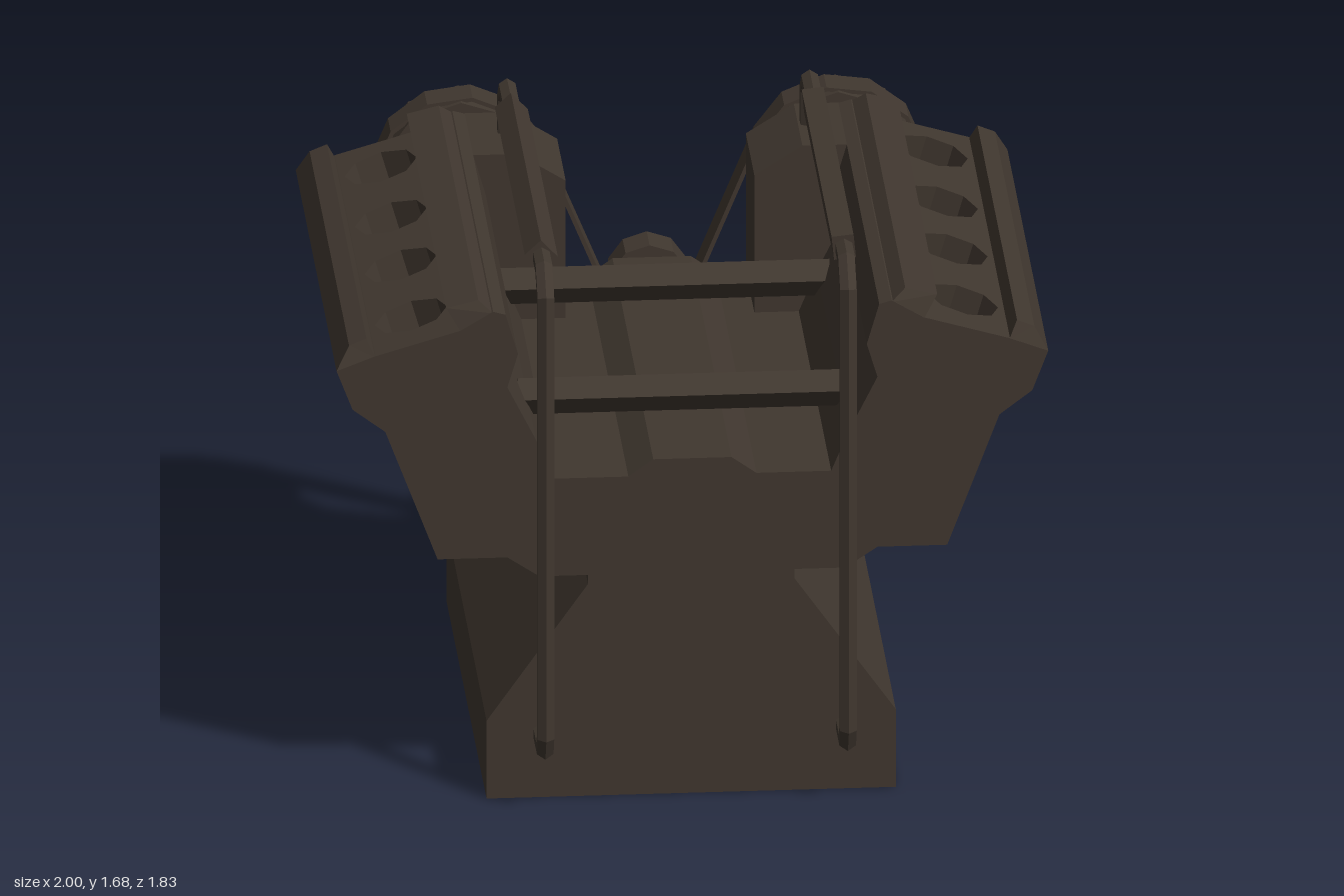
import * as THREE from 'three';

const metal = new THREE.MeshStandardMaterial({ color: 0x40372f });
metal.name = 'dark metal';

// Faceted normals for every part
function faceted(geo) {
  const g = geo.index ? geo.toNonIndexed() : geo;
  g.computeVertexNormals();
  return g;
}

// Mirror across x, keeping the corner order outward
function mirrorX(geo) {
  const g = faceted(geo.clone());
  const p = g.attributes.position;
  for (let i = 0; i < p.count; i += 3) {
    const v = [0, 2, 1].map((k) => new THREE.Vector3().fromBufferAttribute(p, i + k));
    v.forEach((q, k) => p.setXYZ(i + k, -q.x, q.y, q.z));
  }
  return faceted(g);
}

function shapeOf(points) {
  return new THREE.Shape(points.map(([x, y]) => new THREE.Vector2(x, y)));
}

// Extrude an xy profile between two z planes
function prism(shape, z0, z1) {
  const s = Array.isArray(shape) ? shapeOf(shape) : shape;
  return new THREE.ExtrudeGeometry(s, { depth: z1 - z0, bevelEnabled: false }).translate(0, 0, z0);
}

function polygon(r, sides, cx = 0, cy = 0, phase = 0.5) {
  return Array.from({ length: sides }, (_, i) => {
    const a = ((i + phase) / sides) * Math.PI * 2;
    return new THREE.Vector2(cx + r * Math.cos(a), cy + r * Math.sin(a));
  });
}

function disc(r, sides, z0, z1, x, y) {
  return prism(new THREE.Shape(polygon(r, sides)), z0, z1).translate(x, y, 0);
}

// Mitred pipe along a path of [z, y] points
function pipe(path, r, sides, x) {
  const pts = path.map(([z, y]) => new THREE.Vector2(z, y));
  const pos = [], idx = [], n = pts.length;
  pts.forEach((p, i) => {
    const a = p.clone().sub(pts[Math.max(i - 1, 0)]).normalize();
    const b = pts[Math.min(i + 1, n - 1)].clone().sub(p).normalize();
    const t = a.clone().add(b).normalize();
    const w = r / t.dot(i ? a : b);
    for (let k = 0; k < sides; k++) {
      const q = ((k + 0.5) / sides) * Math.PI * 2;
      pos.push(x + r * Math.cos(q), p.y + t.x * w * Math.sin(q), p.x - t.y * w * Math.sin(q));
    }
  });
  for (let i = 0; i < n - 1; i++) {
    for (let k = 0; k < sides; k++) {
      const a = i * sides + k, b = i * sides + ((k + 1) % sides);
      idx.push(a, b, a + sides, b, b + sides, a + sides);
    }
  }
  const e = (n - 1) * sides;
  for (let k = 1; k < sides - 1; k++) idx.push(0, k + 1, k, e, e + k, e + k + 1);
  const g = new THREE.BufferGeometry();
  g.setAttribute('position', new THREE.Float32BufferAttribute(pos, 3));
  g.setIndex(idx);
  return g;
}

// Closed belt line round pulleys [x, y, signed radius], positive = counter-clockwise
function beltLine(wheels) {
  const n = wheels.length;
  const normals = wheels.map(([x, y, r], i) => {
    const [x2, y2, r2] = wheels[(i + 1) % n];
    const D = Math.hypot(x2 - x, y2 - y), ux = (x2 - x) / D, uy = (y2 - y) / D;
    const k = (r - r2) / D, s = Math.sqrt(1 - k * k);
    return Math.atan2(uy * k - ux * s, ux * k + uy * s);
  });
  const out = [];
  wheels.forEach(([x, y, r], i) => {
    const a0 = normals[(i + n - 1) % n], full = Math.PI * 2;
    let sweep = (((normals[i] - a0) % full) + full) % full;
    if (r < 0) sweep -= full;
    const steps = Math.max(2, Math.ceil(Math.abs(sweep) / 0.6));
    for (let j = 0; j <= steps; j++) {
      const a = a0 + (sweep * j) / steps;
      out.push(new THREE.Vector2(x + r * Math.cos(a), y + r * Math.sin(a)));
    }
  });
  return out;
}

export function createModel() {
  const model = new THREE.Group();
  model.name = 'engine';
  const add = (name, geo) => {
    const m = new THREE.Mesh(faceted(geo), metal);
    m.name = name;
    model.add(m);
  };
  const addPair = (name, geo) => {
    add(name + 'Left', geo);
    add(name + 'Right', mirrorX(geo));
  };
  const both = (half) => [...half, ...half.slice().reverse().map(([x, y]) => [-x, y])];
  const Z0 = -0.71, Z1 = 0.79;

  // Oil pan
  add('oilPan', prism(both([[0.575, 0], [0.575, 0.235], [0.29, 0.64], [0.29, 0.69]]), -0.735, 0.745));

  // V block; the deck slot is left open for the bored plates
  const s = new THREE.Vector3(0.24, -0.07, 0).normalize();
  const nrm = new THREE.Vector3(-s.y, s.x, 0);
  const depth = 0.1, deckIn = [0.65, 1.436], deckOut = [0.89, 1.366];
  const sink = ([x, y]) => [x - nrm.x * depth, y - nrm.y * depth];
  add('block', prism(both([
    [0.43, 0.686], [0.52, 0.746], [0.716, 0.746], [0.863, 1.136], [0.955, 1.206], [1, 1.324],
    deckOut, sink(deckOut), sink(deckIn), deckIn, [0.56, 1.49], [0.525, 1.48], [0.49, 1.36],
    [0.52, 1.26], [0.44, 1.1], [0.39, 0.98], [0.18, 0.98], [0.11, 1.03],
  ]), Z0, Z1));

  // Deck plates with four octagonal bores
  const deck = shapeOf([[0, -Z1], [0.25, -Z1], [0.25, -Z0], [0, -Z0]]);
  for (const z of [-0.53, -0.155, 0.2, 0.58]) deck.holes.push(new THREE.Path(polygon(0.105, 8, 0.13, -z, 0.1)));
  const [dx, dy] = sink(deckIn);
  const basis = new THREE.Matrix4().makeBasis(s, new THREE.Vector3(0, 0, -1), nrm).setPosition(dx, dy, 0);
  addPair('cylinderDeck', prism(deck, 0, depth).applyMatrix4(basis));

  // Rails beside the deck, their upper edges drawn in at the ends
  const rail = (points, isTop) => {
    const g = prism(points, Z0, Z1), p = g.attributes.position;
    for (let i = 0; i < p.count; i++) {
      if (isTop(p.getX(i), p.getY(i))) p.setZ(i, p.getZ(i) - Math.sign(p.getZ(i)) * 0.025);
    }
    return g;
  };
  addPair('innerRail', rail([[0.56, 1.485], [0.65, 1.43], [0.69, 1.495], [0.6, 1.517]], (x, y) => y > 1.49));
  addPair('outerRail', rail([[0.89, 1.36], [1, 1.324], [0.963, 1.39], [0.914, 1.41]], (x, y) => y > 1.38));

  // Housings at the back of the valley
  addPair('rearHousing', prism([[0.265, 0.97], [0.54, 0.97], [0.555, 1.48], [0.4, 1.48], [0.265, 1.395]], -0.713, -0.4));

  // Tubular frame: pipes, sleeves turned differently on each side, cross bars
  for (const [side, x, turn] of [['Left', 0.43, 0.1], ['Right', -0.42, 0.75]]) {
    add('framePipe' + side, pipe([
      [0.73, 0.195], [0.865, 0.195], [0.888, 0.24], [0.888, 1.565], [0.82, 1.63],
      [-0.52, 1.63], [-0.57, 1.585], [-0.57, 1.45],
    ], 0.027, 6, x));
    add('frameSleeve' + side, new THREE.BoxGeometry(0.062, 0.07, 1.1).rotateZ(turn).translate(x, 1.631, 0.18));
  }
  for (const z of [-0.31, 0.51]) {
    add('crossBar', new THREE.BoxGeometry(0.94, 0.07, 0.075).rotateX(0.6).translate(0, 1.118, z));
  }

  // Large spoked pulleys
  const bx = 0.53, by = 1.25;
  const rim = new THREE.Shape(polygon(0.238, 10));
  rim.holes.push(new THREE.Path(polygon(0.178, 10)));
  addPair('pulleyRim', prism(rim, -0.902, -0.77).translate(bx, by, 0));
  addPair('pulleyWeb', disc(0.18, 10, -0.84, -0.8, bx, by));
  addPair('pulleyHub', disc(0.055, 8, -0.89, -0.7, bx, by));
  for (let i = 0; i < 6; i++) {
    addPair('pulleySpoke', new THREE.BoxGeometry(0.15, 0.035, 0.05).translate(0.11, 0, -0.86)
      .rotateZ((i * Math.PI) / 3).translate(bx, by, 0));
  }

  // Small pulleys and shafts
  addPair('tensioner', disc(0.122, 10, -0.885, -0.785, 0.2, 0.53));
  addPair('tensionerHub', disc(0.062, 8, -0.91, -0.72, 0.2, 0.53));
  add('idler', disc(0.115, 10, -0.89, -0.785, 0, 0.92));
  add('idlerShaft', disc(0.06, 8, -0.8, -0.7, 0, 0.92));
  add('crankPulley', disc(0.103, 10, -0.888, -0.785, 0, 0.19));

  // Serpentine belt
  const th = 0.012;
  const wheels = [[0, 0.19, 0.104], [0.2, 0.53, -0.122], [bx, by, 0.237], [0, 0.92, -0.115], [-bx, by, 0.237], [-0.2, 0.53, -0.122]];
  const line = (o) => beltLine(wheels.map(([x, y, r]) => [x, y, (r > 0 ? r : r - th) + o]));
  const belt = new THREE.Shape(line(th));
  belt.holes.push(new THREE.Path(line(0)));
  add('belt', prism(belt, -0.885, -0.785));

  return model;
}
